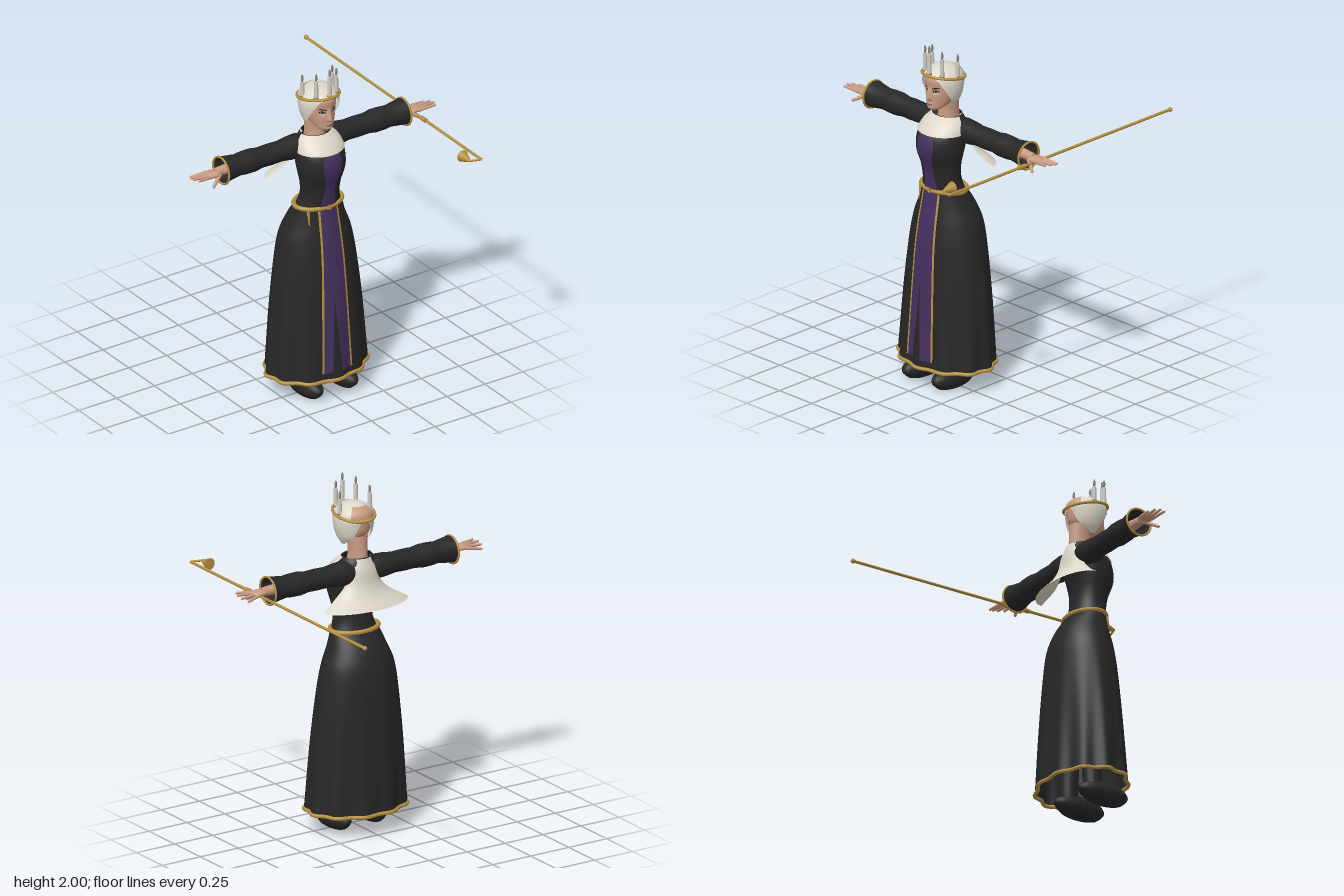
import * as THREE from 'three';
import { mergeVertices } from 'three/addons/utils/BufferGeometryUtils.js';

const mat = (name, color, double) => {
  const m = new THREE.MeshStandardMaterial({ color });
  m.name = name;
  if (double) m.side = THREE.DoubleSide;
  return m;
};
const PI = Math.PI, V = (x, y, z) => new THREE.Vector3(x, y, z);
const gauss = (d, w) => Math.exp(-(d * d) / (w * w));

// Smooth lookup of all columns in a table of rows [key, a, b, ...]
function lookup(t, k) {
  k = Math.min(Math.max(k, t[0][0]), t[t.length - 1][0]);
  let i = 0;
  while (i < t.length - 2 && k > t[i + 1][0]) i++;
  const a = t[i], b = t[i + 1], h = b[0] - a[0], u = (k - a[0]) / h;
  const slope = (j, c) => {
    const p = t[Math.max(j - 1, 0)], q = t[Math.min(j + 1, t.length - 1)];
    return (q[c] - p[c]) / (q[0] - p[0]);
  };
  return a.slice(1).map((v, n) => {
    const c = n + 1, w = u * u * (3 - 2 * u);
    return v * (1 - w) + b[c] * w + h * u * (1 - u) * ((1 - u) * slope(i, c) - u * slope(i + 1, c));
  });
}

// A body is a table of [y, half width, back z, front z] plus an optional sculpting rule
const skirt = {
  rows: [[.115, .298, -.015, .435], [.5, .274, 0, .408], [.8, .24, .015, .385], [.95, .212, .032, .365],
    [1.05, .172, .07, .347], [1.14, .142, .13, .33]],
  sculpt: (p, y, a) => {
    const f = 1 + .035 * Math.pow(Math.max(0, (1 - y) / .9), 1.4) * Math.cos(11 * a);
    p.x *= f;
    p.z = .21 + (p.z - .21) * f;
  }
};
const torso = { rows: [[1.12, .14, .13, .33], [1.2, .115, .15, .342], [1.28, .12, .155, .355], [1.36, .138, .14, .382],
  [1.42, .142, .12, .387], [1.48, .138, .11, .368], [1.53, .12, .115, .325], [1.568, .085, .13, .275]] };
const cape = { rows: [[1.3, .272, 0, .26], [1.36, .175, .055, .25], [1.42, .115, .085, .22], [1.5, .085, .1, .2], [1.565, .065, .122, .24]] };
const neck = { rows: [[1.5, .06, .13, .28], [1.58, .05, .132, .26], [1.69, .055, .135, .27]] };
const coif = { rows: [[1.635, .076, .18, .3], [1.68, .098, .14, .335], [1.74, .112, .125, .35], [1.8, .11, .122, .353],
  [1.835, .088, .14, .335], [1.862, .04, .19, .28], [1.868, .003, .23, .24]] };
const head = {
  rows: [[1.612, .012, .29, .32], [1.63, .045, .25, .34], [1.66, .066, .18, .343], [1.7, .08, .14, .345],
    [1.75, .088, .128, .343], [1.8, .09, .13, .343], [1.84, .066, .16, .31], [1.856, .01, .22, .25]],
  sculpt: (p, y, a) => {
    if (Math.cos(a) < 0) return;
    const x = Math.abs(p.x), ridge = y > 1.69 ? Math.max(0, 1 - (y - 1.69) / .07) : gauss(y - 1.69, .009);
    p.z += .024 * ridge * gauss(x, .011) + .006 * gauss(x, .02) * gauss(y - 1.657, .009)
      - .01 * gauss(x - .036, .016) * gauss(y - 1.733, .013) + .005 * gauss(x, .02) * gauss(y - 1.63, .012);
  }
};

function point(body, y, a, off = 0) {
  const [rx, zb, zf] = lookup(body.rows, y);
  const p = V((rx + off) * Math.sin(a), y, (zb + zf) / 2 + ((zf - zb) / 2 + off) * Math.cos(a));
  if (body.sculpt) body.sculpt(p, y, a);
  return p;
}
const angleAt = (body, y, x) => Math.asin(Math.min(1, Math.max(-1, x / lookup(body.rows, y)[0])));

// Grid surface from f(u, v); u runs rightwards and v upwards
function grid(nu, nv, f) {
  const pos = [], idx = [];
  for (let j = 0; j <= nv; j++) for (let i = 0; i <= nu; i++) pos.push(...f(i / nu, j / nv).toArray());
  for (let j = 0; j < nv; j++) for (let i = 0; i < nu; i++) {
    const a = j * (nu + 1) + i, d = a + nu + 1;
    idx.push(a, a + 1, d + 1, a, d + 1, d);
  }
  let g = new THREE.BufferGeometry();
  g.setAttribute('position', new THREE.Float32BufferAttribute(pos, 3));
  g.setIndex(idx);
  g = mergeVertices(g, 1e-5);
  g.computeVertexNormals();
  return g;
}
// Part of a body between two heights and two edge angles
const patch = (body, y0, y1, left, right, off, nu, nv) => grid(nu, nv, (u, v) => {
  const y = y0 + (y1 - y0) * v, l = left(y), r = right(y);
  return point(body, y, l + (r - l) * u, off);
});
const whole = (body, nu, nv) => patch(body, body.rows[0][0], body.rows.at(-1)[0], () => -PI, () => PI, 0, nu, nv);
// Strip of a body between two x positions
const strip = (body, y0, y1, l, r, off, nu = 6, nv = 40) =>
  patch(body, y0, y1, y => angleAt(body, y, l(y)), y => angleAt(body, y, r(y)), off, nu, nv);
// Lens shaped plate on a body
const lens = (body, xc, yc, w, h, slope, off) => grid(10, 4, (u, v) => {
  const s = u * 2 - 1, y = yc + slope * s * w + h * (v * 2 - 1) * Math.sqrt(1 - s * s);
  return point(body, y, angleAt(body, y, xc + w * s)).add(V(0, 0, off));
});
const loopTube = (f, r, n = 96) => new THREE.TubeGeometry(new THREE.CatmullRomCurve3(
  Array.from({ length: n }, (_, i) => f(i / n * 2 * PI)), true), n * 2, r, 8, true);
function rod(a, b, r0, r1 = r0, sides = 12) {
  const d = b.clone().sub(a), g = new THREE.CylinderGeometry(r1, r0, d.length(), sides);
  g.applyQuaternion(new THREE.Quaternion().setFromUnitVectors(V(0, 1, 0), d.normalize()));
  return g.translate(...a.clone().add(b).multiplyScalar(.5).toArray());
}
const ball = (c, x, y = x, z = x) => new THREE.SphereGeometry(1, 24, 16).scale(x, y, z).translate(c.x, c.y, c.z);

export function createModel() {
  const model = new THREE.Group();
  const black = mat('black cloth', 0x272727, true), purple = mat('purple cloth', 0x45305f, true);
  const gold = mat('gold', 0xb5903f, true), white = mat('white linen', 0xdcd7c8, true);
  const skin = mat('skin', 0xc99b82), lip = mat('lips', 0xa3665c, true);
  const wax = mat('candle wax', 0xcfccc4), flame = mat('grey flame', 0x8b8780);
  const add = (name, geo, m) => {
    const mesh = new THREE.Mesh(geo, m);
    mesh.name = name;
    model.add(mesh);
    return mesh;
  };

  // Gown
  add('skirt', whole(skirt, 176, 40), black);
  add('bodice', whole(torso, 64, 40), black);
  add('hem', loopTube(a => point(skirt, .122, a), .011, 120), gold);
  add('belt', loopTube(a => point(skirt, 1.142, a, .002), .013, 48), gold);
  add('buckle', new THREE.ConeGeometry(.025, .03, 3).scale(1, 1, .4).translate(0, 1.15, .345), gold);
  add('beltPendant', rod(V(-.11, 1.05, .312), V(-.11, 1.135, .3), .004, .01), gold);

  // Purple front panels with gold edging
  const panelWidth = y => lookup([[.17, .093], [1.13, .056]], y)[0];
  const slit = y => Math.max(0, (.6 - y) / .43) * .029;
  add('rightPanel', strip(skirt, .17, 1.13, y => -panelWidth(y), y => -.009 - slit(y), .005, 16, 60), purple);
  add('leftPanel', strip(skirt, .17, 1.13, y => -.009 + slit(y), panelWidth, .005, 16, 60), purple);
  for (const s of [-1, 1])
    add('panelEdging', strip(skirt, .17, 1.13, y => s * panelWidth(y) - .006, y => s * panelWidth(y) + .006, .008, 3, 60), gold);
  const bodiceWidth = y => lookup([[1.15, .05], [1.25, .034], [1.32, .04], [1.41, .06], [1.485, .046]], y)[0];
  add('bodicePanel', strip(torso, 1.15, 1.485, y => -bodiceWidth(y), bodiceWidth, .004, 10), purple);

  // Collar and back cape
  add('collar', patch(torso, 1.48, 1.568, () => -1.55, () => 1.55, .007, 40, 12), white);
  add('cape', patch(cape, 1.3, 1.565, () => PI - 1.55, () => PI + 1.55, 0, 40, 24), white);

  // Head and face
  add('neck', whole(neck, 32, 8), skin);
  add('head', whole(head, 128, 64), skin);
  add('mouth', lens(head, 0, 1.656, .021, .006, 0, .0025), lip);
  for (const s of [-1, 1]) {
    add('eyeLine', lens(head, s * .037, 1.734, .018, .0075, s * .15, .002), black);
    add('eyeWhite', lens(head, s * .037, 1.733, .013, .004, s * .15, .0035), white);
    add('iris', lens(head, s * .036, 1.733, .0045, .0042, 0, .005), black);
    add('eyebrow', lens(head, s * .038, 1.755, .023, .0035, s * .28, .003), black);
    // Coif, open at the face and at the nape
    const front = y => lookup([[1.635, 1.5], [1.7, 1.15], [1.77, .75], [1.81, .45], [1.825, 0], [1.87, 0]], y)[0];
    const back = y => lookup([[1.635, 1.95], [1.68, 2.5], [1.74, 2.8], [1.775, 2.95], [1.79, PI], [1.87, PI]], y)[0];
    add('coif', patch(coif, 1.635, 1.868, y => s > 0 ? Math.max(0, front(y)) : -back(y),
      y => s > 0 ? back(y) : -Math.max(0, front(y)), 0, 32, 48), white);
  }
  add('crownPatch', patch(coif, 1.79, 1.853, () => PI - .75, () => PI + .75, .002, 20, 12), skin);

  // Candle crown on a tilted ring
  const ringY = z => 1.782 + (z - .11) * .18;
  add('crownRing', loopTube(a => {
    const z = .235 + .124 * Math.cos(a);
    return V(.113 * Math.sin(a), ringY(z), z);
  }, .008, 40), gold);
  for (const [x, z, top] of [[0, .345, 2], [-.066, .312, 1.975], [.066, .312, 1.975], [-.099, .225, 1.945], [.099, .225, 1.945]]) {
    const y = ringY(z);
    add('candleCup', rod(V(x, y - .005, z), V(x, y + .014, z), .01, .016), gold);
    add('candle', rod(V(x, y, z), V(x, top - .045, z), .013, .011), wax);
    add('flame', ball(V(x, top - .024, z), .007, .024, .007), flame);
  }

  // Arms, hands and shoes
  const sleeve = [[.06, .06], [.1, .069], [.16, .066], [.22, .058], [.29, .06], [.35, .058], [.4, .066], [.46, .065],
    [.5, .061], [.56, .07], [.605, .077]].map(([h, r]) => new THREE.Vector2(r, h));
  for (const s of [-1, 1]) {
    const at = (x, y, z) => V(s * x, y, z);
    add('sleeve', new THREE.LatheGeometry(sleeve, 32).rotateZ(-s * PI / 2).translate(0, 1.485, .178), black);
    add('cuff', new THREE.TorusGeometry(.078, .006, 8, 40).rotateY(PI / 2).translate(s * .602, 1.482, .178), gold);
    add('wrist', rod(at(.45, 1.485, .178), at(.645, 1.483, .18), .036, .024, 16), skin);
    add('palm', ball(at(.662, 1.482, .182), .05, .017, .04), skin);
    [[.148, .125, .765, 1.468], [.17, .158, .785, 1.48], [.193, .192, .788, 1.488], [.213, .226, .775, 1.49]].forEach(([z0, z1, x, y]) => {
      add('finger', rod(at(.675, 1.482, z0), at(x, y, z1), .0105, .007), skin);
      add('fingertip', ball(at(x, y, z1), .0075), skin);
    });
    add('thumb', rod(at(.63, 1.475, .205), at(.695, 1.437, .243), .013, .008), skin);
    add('thumbTip', ball(at(.695, 1.437, .243), .0085), skin);

    const shoe = ball(at(.115, .06, .27), .065, .062, .16), p = shoe.attributes.position;
    for (let i = 0; i < p.count; i++) {
      if (p.getY(i) < .03) p.setY(i, Math.max(0, p.getY(i) * 1.6 - .018));
    }
    shoe.computeVertexNormals();
    add('shoe', shoe, black);
    add('leg', rod(at(.115, .06, .2), at(.1, .5, .2), .05, .06, 20), black);
  }

  // Staff with a hooked end and a candle snuffer
  const Y = 1.465, X = .66;
  add('staff', rod(V(X, Y, -.85), V(X, Y, .845), .008), gold);
  add('staffKnob', ball(V(X, Y, -.85), .013), gold);
  add('staffSocket', rod(V(X, Y, .265), V(X, Y, .31), .013), gold);
  add('staffHook', rod(V(X, Y, .848), V(.597, Y, .828), .006), gold);
  add('snuffer', rod(V(.597, Y, .755), V(.597, Y, .832), .034, .005, 24), gold);
  return model;
}
